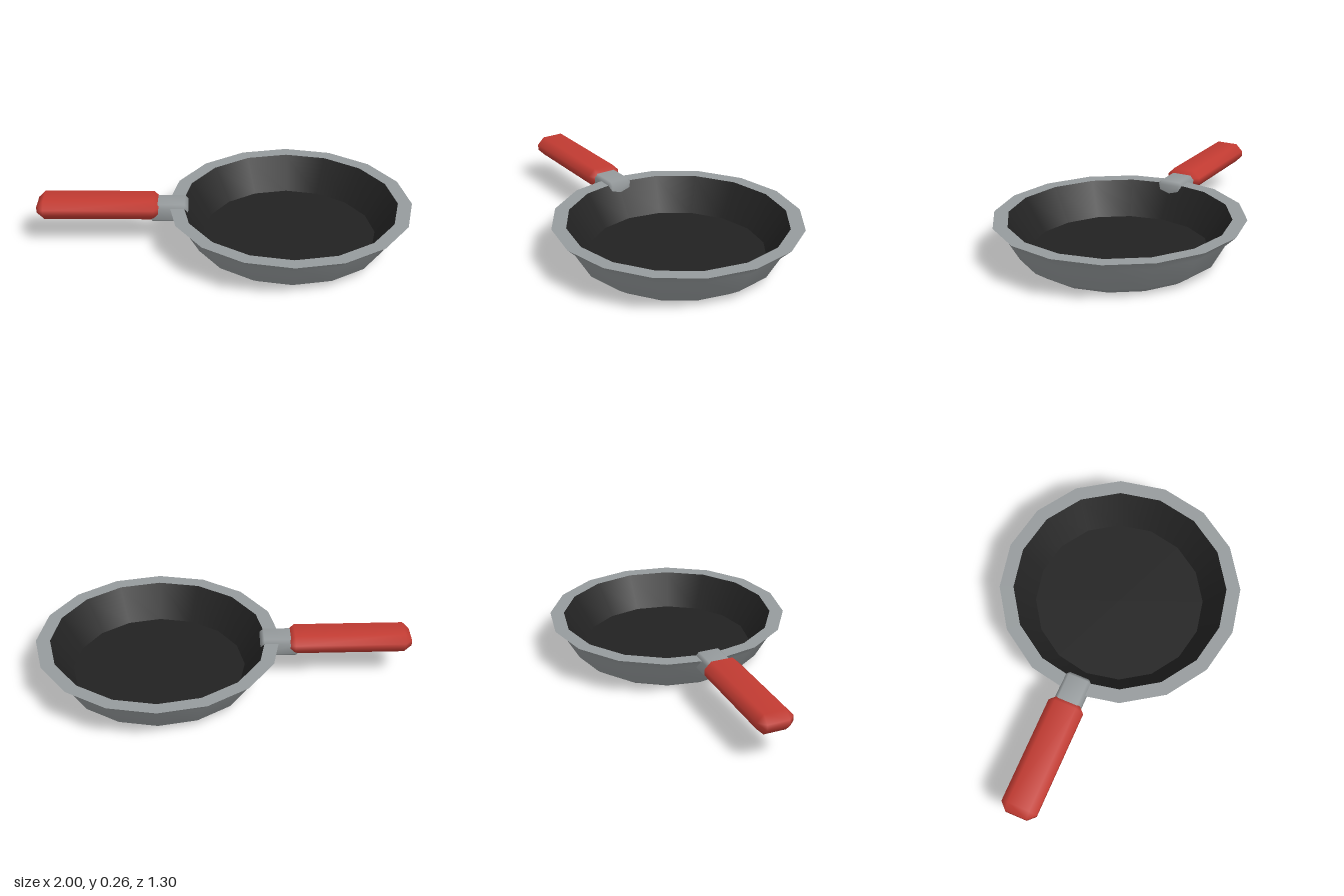
import * as THREE from 'three';
import { mergeVertices } from 'three/addons/utils/BufferGeometryUtils.js';
import { ConvexGeometry } from 'three/addons/geometries/ConvexGeometry.js';

const PAN_X = 0.348;
const SIDES = 16;

// Surface of revolution around the pan's centre
function turned(name, profile, material) {
  const points = profile.map(([r, y]) => new THREE.Vector2(r, y));
  const mesh = new THREE.Mesh(new THREE.LatheGeometry(points, SIDES), material);
  mesh.name = name;
  mesh.position.x = PAN_X;
  return mesh;
}

// Box with every edge cut by the same bevel, shaded smoothly
function bevelledBar(name, width, height, depth, bevel, material) {
  const [w, h, d] = [width / 2, height / 2, depth / 2];
  const points = [];
  for (const sx of [-1, 1]) for (const sy of [-1, 1]) for (const sz of [-1, 1]) {
    points.push(
      new THREE.Vector3(sx * w, sy * (h - bevel), sz * (d - bevel)),
      new THREE.Vector3(sx * (w - bevel), sy * h, sz * (d - bevel)),
      new THREE.Vector3(sx * (w - bevel), sy * (h - bevel), sz * d)
    );
  }
  const hull = new ConvexGeometry(points);
  hull.deleteAttribute('normal');
  const geometry = mergeVertices(hull, 1e-4);
  geometry.computeVertexNormals();
  const mesh = new THREE.Mesh(geometry, material);
  mesh.name = name;
  return mesh;
}

export function createModel() {
  const steel = new THREE.MeshStandardMaterial({ color: 0x969b9d });
  steel.name = 'steel grey';
  const coating = new THREE.MeshStandardMaterial({ color: 0x222222 });
  coating.name = 'coating black';
  const grip = new THREE.MeshStandardMaterial({ color: 0xc23b32 });
  grip.name = 'grip red';

  const group = new THREE.Group();
  group.name = 'fryingPan';

  // Pan body: underside and flared wall, flat rim, dark inside
  group.add(
    turned('outerShell', [[0, 0], [0.453, 0], [0.52, 0.045], [0.592, 0.17], [0.65, 0.225]], steel),
    turned('rim', [[0.65, 0.225], [0.575, 0.225]], steel),
    turned('innerWall', [[0.575, 0.225], [0.462, 0.05]], coating),
    turned('innerFloor', [[0.462, 0.05], [0, 0.05]], coating)
  );

  // Bracket through the wall and the handle on its end
  const bracket = bevelledBar('handleBracket', 0.205, 0.1, 0.144, 0.018, steel);
  bracket.position.set(-0.298, 0.191, 0);
  const handle = bevelledBar('handleGrip', 0.66, 0.108, 0.194, 0.038, grip);
  handle.position.set(-0.67, 0.209, 0);
  group.add(bracket, handle);

  return group;
}
